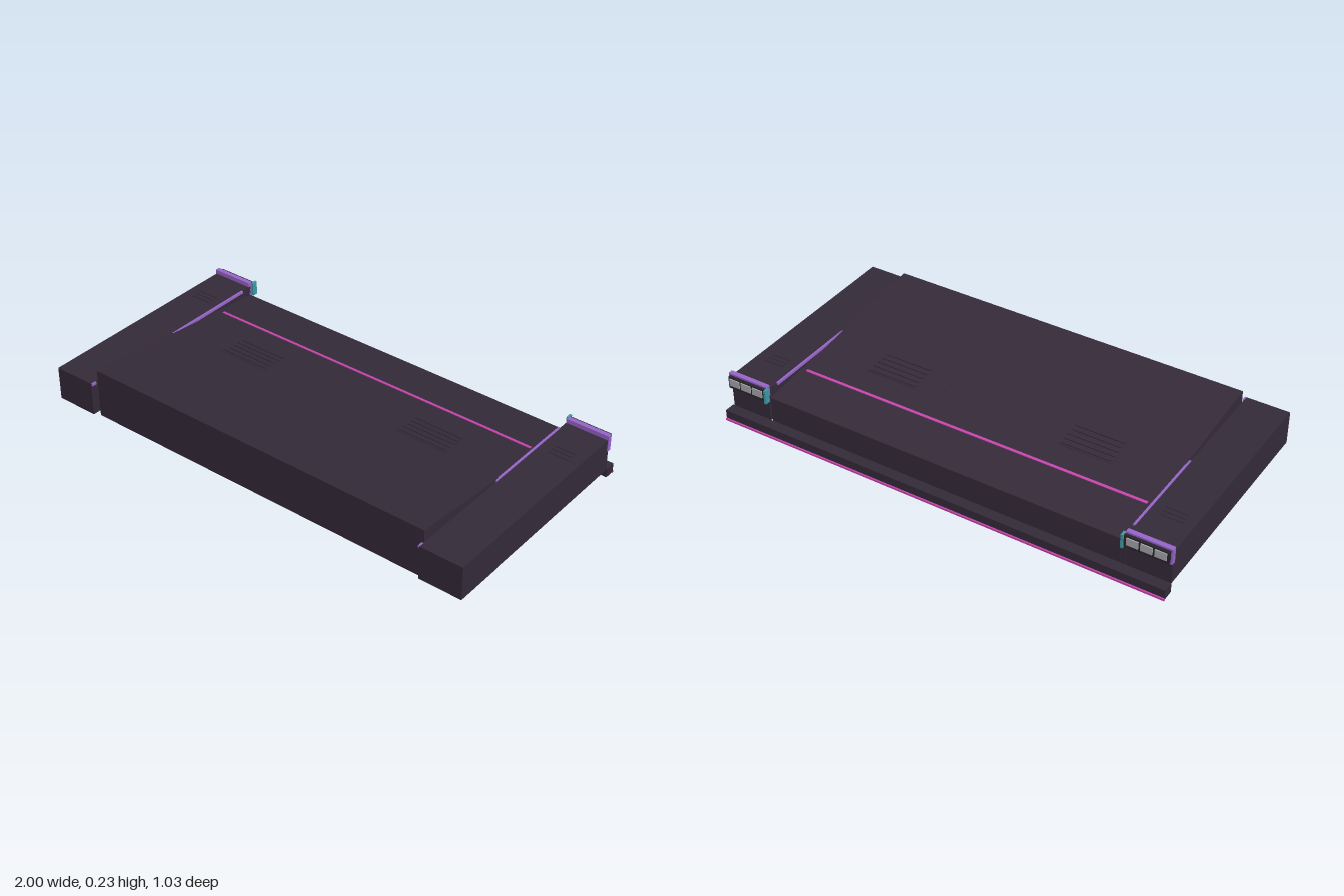
import * as THREE from 'three';

const mat = (name, color) => {
  const m = new THREE.MeshStandardMaterial({ color });
  m.name = name;
  return m;
};

export function createModel() {
  const body = mat('dark plum body', 0x352b3a);
  const purple = mat('purple trim', 0x9a66cc);
  const pink = mat('pink trim', 0xc845ae);
  const teal = mat('teal trim', 0x3f9ca8);
  const lens = mat('pale grey lens', 0xa6a6ac);
  const housing = mat('lamp housing', 0x28232c);

  const model = new THREE.Group();
  model.name = 'frontBodyPanel';

  // Box given by its min and max on each axis
  const box = (parent, name, m, [x0, x1], [y0, y1], [z0, z1]) => {
    const mesh = new THREE.Mesh(new THREE.BoxGeometry(x1 - x0, y1 - y0, z1 - z0), m);
    mesh.position.set((x0 + x1) / 2, (y0 + y1) / 2, (z0 + z1) / 2);
    mesh.name = name;
    parent.add(mesh);
    return mesh;
  };
  // Same box on both sides
  const pair = (name, m, [x0, x1], y, z, parent = model) => {
    box(parent, name + 'Left', m, [x0, x1], y, z);
    box(parent, name + 'Right', m, [-x1, -x0], y, z);
  };

  // Hood: wedge profile in (z, y), extruded across x
  const profile = new THREE.Shape();
  profile.moveTo(-0.48, 0.02);
  profile.lineTo(0.45, 0.02);
  profile.lineTo(0.45, 0.148);
  profile.lineTo(-0.48, 0.235);
  const hoodGeo = new THREE.ExtrudeGeometry(profile, { depth: 1.612, bevelEnabled: false });
  hoodGeo.translate(0, 0, -0.806);
  hoodGeo.rotateY(Math.PI / 2);
  const hood = new THREE.Mesh(hoodGeo, body);
  hood.name = 'hood';
  model.add(hood);

  // Details lying on the sloped hood surface
  const deck = new THREE.Group();
  deck.name = 'hoodDetails';
  deck.position.y = 0.19;
  deck.rotation.x = -Math.atan((0.235 - 0.148) / 0.93);
  model.add(deck);
  box(deck, 'hoodStripe', pink, [-0.78, 0.78], [-0.002, 0.003], [-0.252, -0.24]);
  pair('hoodSeam', body, [0.222, 0.226], [-0.002, 0.002], [-0.12, 0.38], deck);
  pair('hoodPin', body, [0.095, 0.101], [-0.002, 0.003], [0.09, 0.096], deck);
  pair('ventPanel', body, [0.325, 0.565], [-0.002, 0.002], [-0.13, 0.012], deck);
  for (let i = 0; i < 5; i++) {
    const z = -0.122 + i * 0.028;
    pair('ventSlat' + i, body, [0.335, 0.555], [0, 0.006], [z, z + 0.012], deck);
  }

  // Fenders with trim and small vents
  pair('fender', body, [0.81, 0.997], [0.04, 0.187], [-0.455, 0.513]);
  pair('fenderStrip', purple, [0.804, 0.813], [0.18, 0.191], [-0.4, 0.035]);
  pair('fenderTip', purple, [0.803, 0.811], [0.178, 0.188], [0.49, 0.512]);
  pair('fenderUnderStripe', pink, [0.81, 0.99], [0.036, 0.041], [-0.335, -0.322]);
  for (let i = 0; i < 3; i++) {
    const z = -0.3 + i * 0.024;
    pair('fenderSlat' + i, body, [0.86, 0.95], [0.186, 0.19], [z, z + 0.012]);
  }

  // Lamp blocks
  pair('lampPlate', purple, [0.81, 1], [0.135, 0.206], [-0.465, -0.445]);
  pair('lampHousing', housing, [0.81, 0.992], [0.145, 0.198], [-0.479, -0.464]);
  pair('lampSidePlate', teal, [0.8, 0.81], [0.14, 0.202], [-0.486, -0.462]);
  for (let i = 0; i < 3; i++) {
    const x = 0.822 + i * 0.057;
    pair('lampLens' + i, lens, [x, x + 0.048], [0.16, 0.192], [-0.484, -0.478]);
  }

  // Bumper sill with a thin bright lip
  box(model, 'bumper', body, [-1, 1], [0.004, 0.045], [-0.506, -0.46]);
  box(model, 'bumperLip', pink, [-1, 1], [0, 0.008], [-0.513, -0.504]);

  return model;
}
